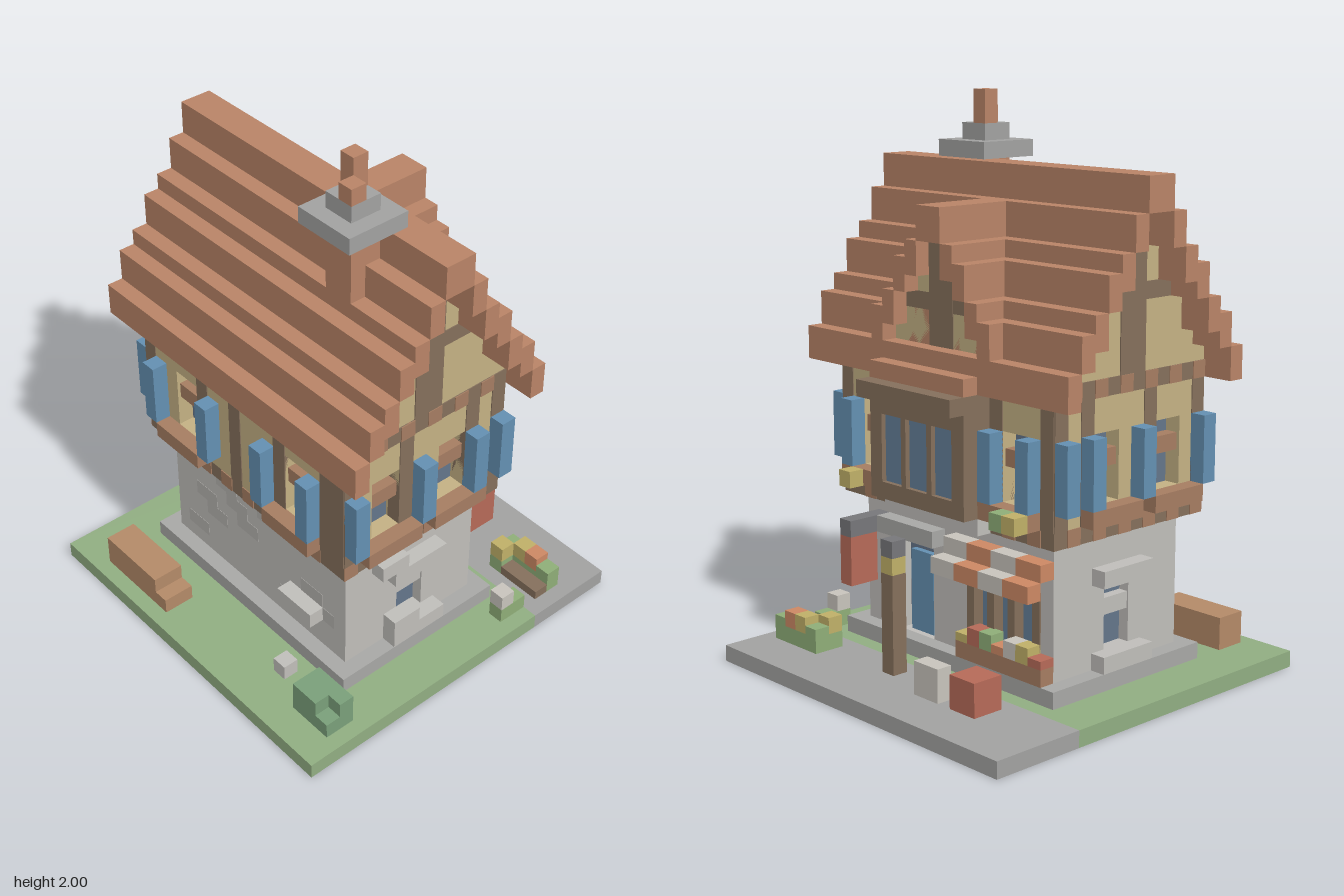
import * as THREE from 'three';

const U = 1 / 17; // one block
const C = {
  roof: 0xb98467, tan: 0xc4b184, wood: 0x85705c, woodLight: 0xa67d62, blue: 0x6490b2, glass: 0x64758a, bayGlass: 0x64809a,
  stone: 0xc0beba, stoneDark: 0xa8a8a6, stoneMid: 0xb5b3af, grey: 0xa2a2a1, slate: 0x77777a, grass: 0x91ae82,
  leaf: 0x7aa07a, leafLight: 0x8fae78, red: 0xb66a58, yellow: 0xc0b068, orange: 0xcc8864, crate: 0xb48a68, white: 0xc8c4bc,
};
const mats = {};
const mat = (c) => (mats[c] ??= new THREE.MeshStandardMaterial({ color: C[c], flatShading: true }));

export function createModel() {
  const model = new THREE.Group();
  let part;
  const begin = (name) => {
    part = new THREE.Group();
    part.name = name;
    model.add(part);
  };
  const add = (name, geo, c) => {
    const m = new THREE.Mesh(geo, mat(c));
    m.name = name;
    part.add(m);
    return m;
  };
  // box from its two corners, in blocks
  const box = (name, c, x0, x1, y0, y1, z0, z1) =>
    add(name, new THREE.BoxGeometry(x1 - x0, y1 - y0, z1 - z0), c)
      .position.set((x0 + x1) / 2, (y0 + y1) / 2, (z0 + z1) / 2);
  // one block thick wall with window openings [u0, u1, y0, y1]; axis is the direction it faces
  const wall = (name, c, axis, d, u0, u1, y0, y1, holes) => {
    const rect = (P, a, b, e, f) => {
      const p = new P();
      p.moveTo(a, e); p.lineTo(b, e); p.lineTo(b, f); p.lineTo(a, f); p.closePath();
      return p;
    };
    const s = rect(THREE.Shape, u0, u1, y0, y1);
    holes.forEach((h) => s.holes.push(rect(THREE.Path, ...h)));
    const g = new THREE.ExtrudeGeometry(s, { depth: 1, bevelEnabled: false });
    if (axis === 'x') g.rotateY(-Math.PI / 2).translate(d + 1, 0, 0);
    else g.translate(0, 0, d);
    add(name, g, c);
  };
  const E = 0.06; // how far timbers stand proud of the plaster
  const T = 0.1; // thickness of the ground sheet

  // hollow ground, open below and under the house
  begin('ground');
  for (const s of [-1, 1]) {
    const a = Math.min(s * 9, s * 12), r = s > 0 ? 12 - T : -12;
    box('lawnSide', 'grass', a, a + 3, 1 - T, 1, -6, 12);
    box('lawnRim', 'grass', r, r + T, 0, 1, -6, 12);
    box('pavementRim', 'grey', r, r + T, 0, 1, -12, -6);
  }
  box('lawnFront', 'grass', -9, 9, 1 - T, 1, 7, 12);
  box('lawnFrontRim', 'grass', -12 + T, 12 - T, 0, 1, 12 - T, 12);
  box('lawnBack', 'grass', -9, 9, 1 - T, 1, -6, -5);
  box('pavement', 'grey', -12, 12, 1 - T, 1, -12, -6);
  box('pavementBackRim', 'grey', -12 + T, 12 - T, 0, 1, -12, -12 + T);

  begin('groundFloor');
  for (const [z0, z1] of [[-5, -4], [6, 7]]) box('plinth', 'stoneDark', -9, 9, 1, 2, z0, z1);
  for (const x of [-9, 8]) box('plinthSide', 'stoneDark', x, x + 1, 1, 2, -4, 6);
  wall('frontWall', 'stone', 'z', 5, -8, 8, 1, 10, []);
  wall('backWall', 'stone', 'z', -4, -8, 8, 1, 10, [[2, 5, 2, 8], [-7, -1, 3, 7]]);
  for (const s of [1, -1]) {
    wall('sideWall', 'stone', 'x', s > 0 ? 7 : -8, -3, 5, 1, 10, [[0, 2, 3, 7]]);
    const side = (name, y0, y1, z0, z1) => box(name, 'stone', s > 0 ? 8 : -9, s > 0 ? 9 : -8, y0, y1, z0, z1);
    side('lintel', 7, 8, -1, 3);
    side('windowSill', 2, 3, -1, 3);
    if (s > 0) {
      side('lintelStone', 8, 9, 2, 4);
      side('sillStone', 3, 4, 1, 3);
    }
    box('sideGlass', 'glass', s * 7.2 - 0.1, s * 7.2 + 0.1, 3, 7, 0, 2);
    box('windowBar', 'stone', s * 7.5 - 0.4, s * 7.5 + 0.4, 5, 6, 0, 2);
  }
  box('frontStone', 'stone', 3, 6, 4, 5, 6, 7);
  // slightly darker stones scattered over the front wall
  for (let i = 0; i < 12; i++) {
    const x = -7 + ((i * 5) % 13), y = 3 + ((i * 3) % 7);
    box('wallStone', 'stoneMid', x, x + 2, y, y + 1, 5.9, 6.02);
  }
  box('doorLintel', 'stoneDark', 1, 6, 8, 9, -5, -4);
  box('doorGlass', 'glass', 2, 5, 2, 8, -3.2, -3);
  box('door', 'blue', 2.5, 4.5, 2, 7, -3.6, -3.2);
  box('shopGlass', 'bayGlass', -7, -1, 3, 7, -3.3, -3.1);
  for (const x of [-7, -5, -3.3, -1.6]) box('shopWindowBar', 'wood', x, x + 0.6, 3, 7, -4.1, -3.4);

  begin('upperFloor');
  box('interior', 'glass', -8, 8, 10.1, 18, -4, 6);
  box('floor', 'wood', -9, 9, 10, 11, -5, 7);
  const win = (a) => [a, a + 2, 12, 16];
  wall('frontWall', 'tan', 'z', 6, -9, 9, 11, 18, [win(-6), win(4)]);
  wall('backWall', 'tan', 'z', -5, -9, 9, 11, 18, [win(-7), win(5)]);
  for (const d of [8, -9]) wall('sideWall', 'tan', 'x', d, -4, 6, 11, 18, [win(3), win(-2)]);
  // alternating beam ends under the walls and gables
  for (let x = -8; x < 8; x += 2) for (const z of [-5 - E, 7]) box('beamEnd', 'woodLight', x, x + 1, 10, 11, z, z + E);
  for (let z = -4; z < 7; z += 2) for (const s of [-1, 1]) {
    box('beamEnd', 'woodLight', s * 9 - E, s * 9 + E, 10, 11, z, z + 1);
    box('gableBeamEnd', 'woodLight', s * 9 - 2 * E, s * 9 + 2 * E, 18, 19, z, z + 1);
  }
  // timber posts
  for (const x of [-9, -4, -1, 3, 8]) box('frontPost', 'wood', x, x + 1, 11, 18, 6.2, 7 + E);
  box('cornerPost', 'wood', 7, 8, 11, 18, 6.2, 7 + E);
  for (const x of [-9, -5, 4, 8]) box('backPost', 'wood', x, x + 1, 11, 18, -5 - E, -4.2);
  for (const s of [1, -1]) {
    for (const z of [-5, -3, 2, 6]) box('sidePost', 'wood', s * 8.6 - 0.4 - E, s * 8.6 + 0.4 + E, 11, 18, z, z + 1);
    // side shutters, sills and cross bars
    const x0 = s > 0 ? 9 : -10;
    for (const z of [6, 1, -3, -5]) box('shutter', 'blue', x0, x0 + 1, 12, 16, z, z + 1);
    for (const z of [2, -3]) {
      box('sill', 'woodLight', x0, x0 + 1, 11, 12, z, z + 4);
      box('windowBar', 'woodLight', s * 8.4 - 0.4, s * 8.4 + 0.4, 14, 15, z + 1, z + 3);
    }
  }
  for (const x of [-8, -3, 2, 6]) box('shutter', 'blue', x, x + 1, 12, 16, 7, 8);
  for (const x of [-7, 3]) {
    box('sill', 'woodLight', x, x + 4, 11, 12, 7, 8);
    box('windowBar', 'woodLight', x + 1, x + 3, 14, 15, 6, 6.8);
  }
  for (const x of [-8, -5, 4, 7]) box('backShutter', 'blue', x, x + 1, 12, 16, -6, -5);
  for (const x of [-8, 4]) {
    box('backSill', 'woodLight', x, x + 4, 11, 12, -6, -5);
    box('windowBar', 'woodLight', x + 1, x + 3, 14, 15, -4.8, -4);
  }
  box('flower', 'yellow', -8, -7, 11, 12, -7, -6);
  box('flower', 'leafLight', -7, -6, 11, 12, -7, -6);
  box('flower', 'yellow', 6, 7, 11, 12, -7, -6);

  begin('bayWindow');
  box('bracket', 'stone', -4, 4, 10, 11, -6, -5);
  box('body', 'bayGlass', -3.8, 3.8, 11.2, 17, -6.7, -5);
  box('base', 'wood', -4, 4, 11, 12, -7, -5);
  box('header', 'wood', -4, 4, 16, 18, -7, -5);
  for (const x of [-4, 3]) box('corner', 'wood', x, x + 1, 12, 16, -7, -5);
  for (const x of [-1.3, 0.9]) box('mullion', 'wood', x, x + 0.4, 12, 16, -7, -6);
  box('eave', 'wood', -4, 4, 17, 18, -8, -7);
  box('bayRoof', 'roof', -4, 4, 18, 19, -7, -6);

  begin('mainRoof');
  // stepped tiles, mirrored about the ridge at z = 1
  [30, 28, 26, 25, 23, 22, 20].forEach((top, i) => {
    for (const z of [1 + i, -i]) {
      box('tileRow', 'roof', -11, 11, top - 2, top, z, z + 1);
      if (i < 6) box('gableWall', 'tan', -9, 9, 18, top - 2, z, z + 1);
    }
  });
  for (const s of [1, -1]) {
    const a = s > 0 ? 8.5 : -9 - E, b = s > 0 ? 9 + E : -8.5;
    box('gablePost', 'wood', a - 0.01, b + 0.01, 18, 28, 0, 2);
    box('gableTie', 'wood', a, b, 23, 24, -2, 4);
    box('gableSill', 'wood', a, b, 18, 19, -5, 7);
  }

  begin('dormer');
  [28, 26, 25, 23, 22, 20].forEach((top, i) => {
    for (const x of [i, -i - 1]) {
      box('tileRow', 'roof', x, x + 1, top - 2, top, -6, 0);
      if (i < 5) box('gableWall', 'tan', x, x + 1, 18, top - 2, -5, 0);
    }
  });
  box('gablePost', 'wood', -1, 1, 19, 26, -5 - E, -4.5);
  box('gableTie', 'wood', -3, 3, 22, 23, -5 - E / 2, -4.5);

  begin('chimney');
  box('stack', 'roof', 4, 6, 25, 30, 2, 4);
  box('cap', 'grey', 3, 7, 30, 31, 1, 5);
  box('collar', 'grey', 4, 6, 31, 32, 2, 4);
  box('tallPot', 'roof', 4, 5, 32, 34, 2, 3);
  box('shortPot', 'roof', 5, 6, 32, 33, 3, 4);

  begin('shopFront');
  // striped awning stepping down from the wall
  for (let i = 0; i < 4; i++) {
    const x = -8 + 2 * i, c = i % 2 ? 'white' : 'orange';
    box('awningTop', c, x, x + 2, 8, 9, -5, -4);
    box('awningEdge', c, x, x + 2, 7, 8, -6, -5);
  }
  box('counter', 'woodLight', -8, -1, 2, 3, -5, -4);
  ['red', 'yellow', 'white', 'orange', 'leafLight', 'red', 'yellow'].forEach((c, i) =>
    box('goods', c, -8 + i, -7 + i, 3, i % 3 ? 4 : 3.5, -5, -4));
  box('signArm', 'slate', 6, 7, 8, 9, -7, -4);
  box('sign', 'red', 6, 7, 5, 8, -7, -5);

  begin('lampPost');
  box('post', 'wood', 1, 2, 1, 7, -8, -7);
  box('lamp', 'yellow', 1, 2, 7, 8, -8, -7);
  box('lampCap', 'slate', 1, 2, 8, 9, -8, -7);

  begin('flowerBed');
  box('soil', 'wood', 8, 11, 1, 1.6, -8, -7);
  box('hedge', 'leafLight', 7, 11, 1, 2, -9, -8);
  box('hedgeEnd', 'leafLight', 7, 8, 1, 2, -8, -7);
  box('flower', 'yellow', 7, 8, 2, 3, -8, -7);
  ['leafLight', 'yellow', 'orange', 'leafLight'].forEach((c, i) => box('flower', c, 7 + i, 8 + i, 2, i % 3 ? 3 : 2.5, -9, -8));
  box('cornerHedge', 'leafLight', 10, 11, 1, 2, -6, -4);
  box('cornerFlowers', 'white', 10, 11, 2, 3, -5, -4);

  begin('yard');
  box('redCrate', 'red', -7, -5, 1, 3, -9, -7);
  box('paleCrate', 'white', -4, -2, 1, 3, -9, -8);
  box('logPile', 'crate', -9, -4, 1, 3, 9, 11);
  box('logPileEnd', 'crate', -4, -3, 1, 2, 9, 11);
  box('bush', 'leaf', 8, 11, 1, 3, 8, 9);
  box('bushFront', 'leaf', 8, 10, 1, 3, 9, 10);
  box('bushLow', 'leaf', 10, 11, 1, 2, 9, 10);
  box('smallStone', 'stone', 5, 6, 1, 2, 8, 9);

  model.scale.setScalar(U);
  return model;
}
